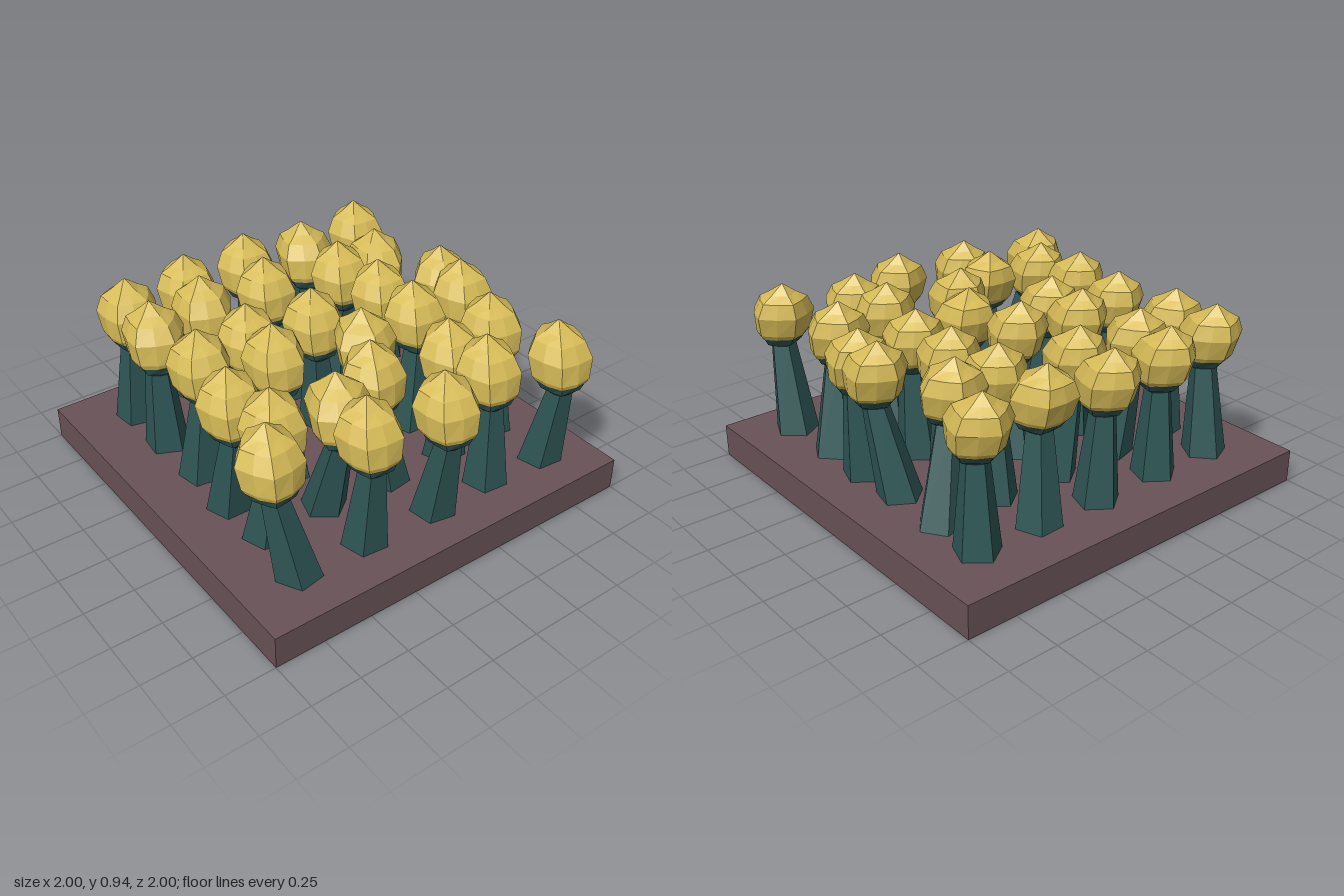
import * as THREE from 'three';

const petalMat = new THREE.MeshStandardMaterial({ name: 'petalYellow', color: 0xd6bb57, flatShading: true });
const stemMat = new THREE.MeshStandardMaterial({ name: 'stemTeal', color: 0x2f5756, flatShading: true });
const soilMat = new THREE.MeshStandardMaterial({ name: 'soilBrown', color: 0x685257, flatShading: true });

const SOIL_TOP = 0.165;
const BUD_MID = 0.77;

// Faceted skin through horizontal rings, listed from bottom to top
function loft(rings) {
  const pos = [];
  const tri = (a, b, c) => pos.push(...a, ...b, ...c);
  for (let k = 0; k < rings.length - 1; k++) {
    const lo = rings[k], hi = rings[k + 1], n = lo.length;
    for (let i = 0; i < n; i++) {
      const j = (i + 1) % n;
      tri(lo[i], lo[j], hi[j]);
      tri(lo[i], hi[j], hi[i]);
    }
  }
  const g = new THREE.BufferGeometry();
  g.setAttribute('position', new THREE.Float32BufferAttribute(pos, 3));
  g.computeVertexNormals();
  return g;
}

// Ring with five corners (radius rc) and optional edge points between them (radius rm)
function ring(cx, y, cz, rc, rm, turn) {
  const n = rm === null ? 5 : 10;
  return Array.from({ length: n }, (_, i) => {
    const a = turn + (i / n) * Math.PI * 2;
    const r = n === 10 && i % 2 ? rm : rc;
    return [cx + Math.sin(a) * r, y, cz + Math.cos(a) * r];
  });
}

// Height, corner radius and edge radius of each bud ring
const CUP = [[0.6, 0.055, 0.05], [0.625, 0.095, 0.08], [0.665, 0.118, 0.108]];
const BUD = [[0.665, 0.122, 0.112], [0.69, 0.138, 0.125], [0.79, 0.155, 0.136],
  [0.862, 0.122, 0.106], [0.892, 0.07, 0.057]];

// Each flower: bud x, bud z, stem foot x, stem foot z, turn in degrees
const FLOWERS = [
  [-0.675, -0.71, -0.68, -0.72, 12], [-0.32, -0.755, -0.33, -0.72, 0], [0.043, -0.77, 0.05, -0.73, 0],
  [0.365, -0.71, 0.39, -0.72, 33], [0.738, -0.745, 0.73, -0.72, 2],
  [-0.685, -0.45, -0.68, -0.42, 25], [-0.37, -0.52, -0.325, -0.43, 20], [-0.016, -0.495, 0.04, -0.43, 0],
  [0.385, -0.415, 0.39, -0.42, 0], [0.62, -0.415, 0.72, -0.45, 20],
  [-0.64, -0.105, -0.67, -0.11, 8], [-0.337, -0.165, -0.33, -0.13, 0], [-0.005, -0.105, 0.05, -0.13, 5],
  [0.428, -0.14, 0.4, -0.11, 0], [0.775, -0.07, 0.71, -0.13, -5],
  [-0.695, 0.235, -0.69, 0.17, 0], [-0.34, 0.055, -0.325, 0.13, 10], [0.075, 0.185, 0.04, 0.16, -25],
  [0.43, 0.125, 0.4, 0.15, 0], [0.76, 0.1, 0.72, 0.14, 0],
  [-0.635, 0.475, -0.67, 0.44, 0], [-0.34, 0.54, -0.34, 0.43, 35], [-0.065, 0.43, 0.02, 0.45, -8],
  [0.337, 0.495, 0.38, 0.44, 0], [0.652, 0.43, 0.71, 0.42, 10],
  [-0.785, 0.67, -0.7, 0.74, -10], [-0.342, 0.76, -0.34, 0.74, 5], [0.043, 0.81, 0.05, 0.75, 10],
  [0.385, 0.7, 0.39, 0.73, 5], [0.733, 0.8, 0.73, 0.75, 5],
];

function makeFlower([x, z, footX, footZ, degrees], index) {
  const flower = new THREE.Group();
  flower.name = 'flower' + (index + 1);
  const turn = Math.PI - THREE.MathUtils.degToRad(degrees);
  // Buds slant gently backwards
  const slant = y => [x + (y - BUD_MID) * 0.05, z - (y - BUD_MID) * 0.22];
  const slanted = ([y, rc, rm]) => {
    const [cx, cz] = slant(y);
    return ring(cx, y, cz, rc, rm, turn);
  };
  const add = (name, rings, mat) => {
    const m = new THREE.Mesh(loft(rings), mat);
    m.name = name;
    flower.add(m);
  };

  // Tapered five-sided stem leaning towards its bud
  const [topX, topZ] = slant(0.62);
  add('stem', [ring(footX, SOIL_TOP - 0.005, footZ, 0.112, null, turn),
    ring(topX, 0.63, topZ, 0.062, null, turn)], stemMat);

  // Cup under the bud
  add('cup', CUP.map(slanted), stemMat);

  // Bud body closed by a small pointed crown
  add('bud', [...BUD.map(slanted), slanted([0.942, 0.0005, 0.0005])], petalMat);
  return flower;
}

export function createModel() {
  const model = new THREE.Group();
  model.name = 'flowerBed';

  // Square slab of soil
  const soil = new THREE.Mesh(new THREE.BoxGeometry(2, SOIL_TOP, 2), soilMat);
  soil.name = 'soilSlab';
  soil.position.y = SOIL_TOP / 2;
  model.add(soil);

  // Rows of flowers
  FLOWERS.forEach((f, i) => model.add(makeFlower(f, i)));
  return model;
}
